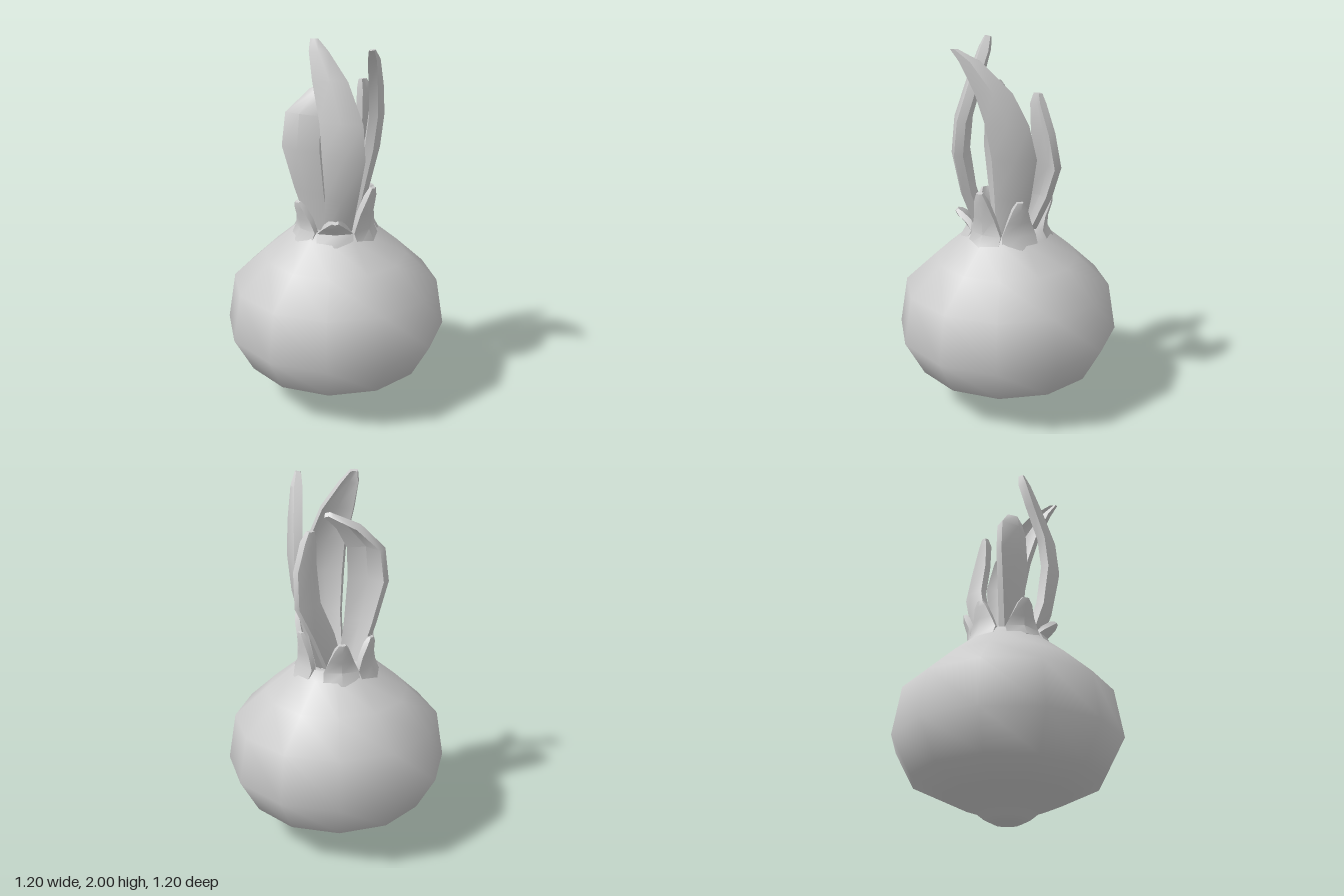
import * as THREE from 'three';
import { toCreasedNormals } from 'three/addons/utils/BufferGeometryUtils.js';

const V = (x, y, z) => new THREE.Vector3(x, y, z);
const grey = () => new THREE.MeshStandardMaterial({ color: 0xcccccc, side: THREE.DoubleSide });

// Blade swept along a path: six-sided, slightly cupped section; "across" is the width direction
function blade(name, path, widths, across, thick) {
  const w = across.clone().normalize();
  const pos = [], idx = [], n = path.length, k = 6;
  path.forEach((p, i) => {
    const t = path[Math.min(i + 1, n - 1)].clone().sub(path[Math.max(i - 1, 0)]).normalize();
    const out = w.clone().cross(t).normalize();
    const h = widths[i] / 2, th = thick * (i === n - 1 ? 0.6 : 1), cup = widths[i] * 0.16;
    const ring = [[0, th / 2 + cup], [h, th / 2], [h * 0.9, -th / 2],
      [0, -th / 2 + cup], [-h * 0.9, -th / 2], [-h, th / 2]];
    for (const [u, v] of ring) {
      const q = p.clone().addScaledVector(w, u).addScaledVector(out, v - cup / 2);
      pos.push(q.x, q.y, q.z);
    }
    if (i < n - 1) for (let j = 0; j < k; j++) {
      const a = i * k + j, b = i * k + (j + 1) % k;
      idx.push(a, b, b + k, a, b + k, a + k);
    }
  });
  // Close both ends
  for (const [a, b, c] of [[0, 1, 2], [0, 2, 3], [0, 3, 4], [0, 4, 5]]) {
    const e = (n - 1) * k;
    idx.push(a, c, b, e + a, e + b, e + c);
  }
  const g = new THREE.BufferGeometry();
  g.setAttribute('position', new THREE.Float32BufferAttribute(pos, 3));
  g.setIndex(idx);
  const mesh = new THREE.Mesh(toCreasedNormals(g, 0.8), grey());
  mesh.name = name;
  return mesh;
}

export function createModel() {
  const model = new THREE.Group();
  model.name = 'sproutingBulb';

  // Twelve-sided round bulb with a root nub below and an open neck above
  const profile = [[0, 0], [0.07, 0.005], [0.12, 0.03], [0.17, 0.07], [0.29, 0.115], [0.5, 0.215],
    [0.605, 0.41], [0.562, 0.67], [0.39, 0.83], [0.235, 0.96], [0.2, 1.0], [0.16, 1.0], [0.12, 0.97], [0, 0.97]]
    .map(([r, y]) => new THREE.Vector2(r, y));
  const bulb = new THREE.Mesh(new THREE.LatheGeometry(profile, 12, Math.PI / 30), grey());
  bulb.name = 'bulb';
  model.add(bulb);

  // Torn skin points round the neck: angle in degrees, tip radius, tip height
  const points = new THREE.Group();
  points.name = 'skinPoints';
  const tips = [[0, 0.21, 1.19], [55, 0.24, 1.24], [110, 0.27, 1.09],
    [167, 0.235, 1.16], [235, 0.21, 1.17], [288, 0.235, 1.17]];
  tips.forEach(([deg, r, top], i) => {
    const a = deg * Math.PI / 180, c = Math.cos(a), s = Math.sin(a);
    const at = (rad, y) => V(c * rad, y, s * rad);
    const path = [at(0.225, 0.93), at(0.19, 1.0), at(0.18 + (r - 0.18) * 0.35, 1 + (top - 1) * 0.4),
      at(0.18 + (r - 0.18) * 0.8, 1 + (top - 1) * 0.8), at(r, top)];
    points.add(blade('skinPoint' + (i + 1), path, [0.2, 0.19, 0.13, 0.08, 0.035], V(s, 0, -c), 0.03));
  });
  model.add(points);

  // Four long curling leaves
  const leaves = new THREE.Group();
  leaves.name = 'leaves';
  leaves.add(
    blade('frontLeaf',
      [V(-0.03, 0.98, 0.13), V(-0.04, 1.2, 0.21), V(-0.045, 1.42, 0.25), V(-0.05, 1.6, 0.23), V(-0.08, 1.8, 0.15),
        V(-0.115, 1.94, 0.085), V(-0.13, 2.0, 0.06)],
      [0.14, 0.17, 0.22, 0.22, 0.18, 0.1, 0.04], V(0.86, 0, 0.45), 0.045),
    blade('leftLeaf',
      [V(0.1, 0.98, 0.02), V(0.15, 1.2, 0.02), V(0.2, 1.42, 0.03), V(0.205, 1.6, 0.07), V(0.175, 1.76, 0.13),
        V(0.12, 1.91, 0.23), V(0.08, 1.97, 0.3)],
      [0.14, 0.19, 0.23, 0.22, 0.19, 0.11, 0.04], V(0.38, 0, -0.92), 0.045),
    blade('rightLeaf',
      [V(-0.09, 0.98, 0), V(-0.145, 1.2, 0), V(-0.19, 1.43, 0), V(-0.175, 1.61, 0), V(-0.08, 1.73, 0.02),
        V(0.02, 1.785, 0.045)],
      [0.13, 0.18, 0.23, 0.21, 0.13, 0.05], V(0.65, 0, 0.76), 0.045),
    blade('backLeaf',
      [V(0.05, 0.98, -0.09), V(0.14, 1.2, -0.14), V(0.225, 1.38, -0.15), V(0.225, 1.56, -0.12), V(0.2, 1.7, -0.1),
        V(0.19, 1.75, -0.1)],
      [0.12, 0.15, 0.16, 0.14, 0.08, 0.04], V(-0.9, 0, 0.4), 0.04));
  model.add(leaves);
  return model;
}
